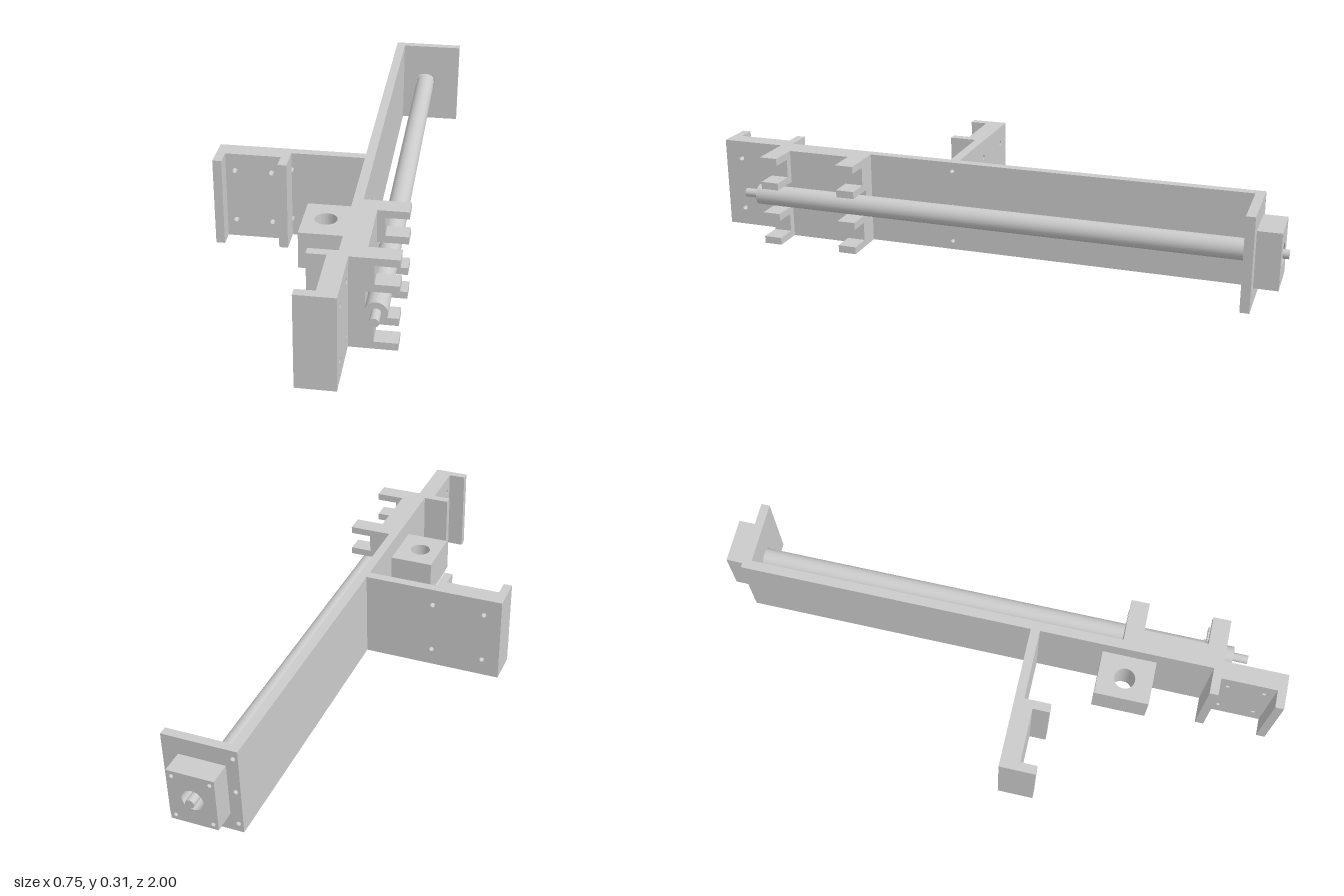
import * as THREE from 'three';

const H = 0.312, MID = H / 2, ROD_X = 0.241;
const material = new THREE.MeshStandardMaterial({ color: 0xcccccc });

export function createModel() {
  const model = new THREE.Group();

  const add = (name, geometry) => {
    const mesh = new THREE.Mesh(geometry, material);
    mesh.name = name;
    model.add(mesh);
    return mesh;
  };

  // Box given by its two opposite limits on each axis
  const block = (name, x0, x1, y0, y1, z0, z1) =>
    add(name, new THREE.BoxGeometry(x1 - x0, y1 - y0, z1 - z0)
      .translate((x0 + x1) / 2, (y0 + y1) / 2, (z0 + z1) / 2));

  // Box drilled along one axis; holes are [u, v, radius] with
  // (u, v) = (z, y) for axis x, (x, z) for axis y, (x, y) for axis z
  const drilled = (name, axis, x0, x1, y0, y1, z0, z1, holes) => {
    const [u0, u1] = axis === 'x' ? [z0, z1] : [x0, x1];
    const [v0, v1] = axis === 'y' ? [z0, z1] : [y0, y1];
    const [d0, d1] = { x: [x0, x1], y: [y0, y1], z: [z0, z1] }[axis];
    const shape = new THREE.Shape([[u0, v0], [u1, v0], [u1, v1], [u0, v1]]
      .map(([u, v]) => new THREE.Vector2(u, v)));
    for (const [u, v, r] of holes) {
      shape.holes.push(new THREE.Path().absarc(u, v, r, 0, Math.PI * 2, true));
    }
    const geometry = new THREE.ExtrudeGeometry(shape, { depth: d1 - d0, bevelEnabled: false, curveSegments: 20 });
    if (axis === 'x') geometry.rotateY(-Math.PI / 2).translate(d1, 0, 0);
    if (axis === 'y') geometry.rotateX(Math.PI / 2).translate(0, d1, 0);
    if (axis === 'z') geometry.translate(0, 0, d0);
    return add(name, geometry);
  };

  const grid = (us, vs, r) => us.flatMap(u => vs.map(v => [u, v, r]));
  const boltRows = [0.063, 0.25];
  const screwRows = [0.03, MID, 0.282];

  // Long upright wall with its thickened front section
  drilled('mainWall', 'x', 0.122, 0.154, 0, H, -0.875, 0.435, grid([0.137], screwRows, 0.007));
  block('clipBase', 0.122, 0.204, 0, H, 0.435, 0.78);

  // Front channel on the end of the wall
  drilled('frontChannelWeb', 'x', 0.091, 0.154, 0, H, 0.78, 0.97, grid([0.815, 0.94], boltRows, 0.009));
  block('frontChannelFlange', 0.03, 0.154, 0, H, 0.97, 1.0);
  block('frontChannelFlange', 0.03, 0.122, 0, H, 0.75, 0.78);

  // Side arm with a channel at its far end
  drilled('sideArm', 'z', -0.373, 0.122, 0, H, 0.121, 0.153, grid([-0.312, -0.125], boltRows, 0.009));
  drilled('sideChannelWeb', 'z', -0.373, -0.125, 0, H, 0.153, 0.187, grid([-0.312, -0.187], boltRows, 0.009));
  for (const x of [-0.373, -0.155]) block('sideChannelFlange', x, x + 0.03, 0, H, 0.187, 0.245);

  // Bored block on the inner side of the wall
  drilled('boredBlock', 'y', -0.032, 0.122, 0.125, 0.25, 0.375, 0.563, [[0.041, 0.467, 0.036]]);

  // Rear end plate and the bearing housing behind it
  drilled('endPlate', 'z', 0.122, 0.373, 0, H, -0.905, -0.875,
    [[ROD_X, MID, 0.038], ...grid([0.138], screwRows, 0.008)]);
  drilled('bearingHousing', 'z', 0.163, 0.32, 0.063, 0.25, -0.982, -0.905,
    [[ROD_X, MID, 0.036], ...grid([ROD_X - 0.062, ROD_X + 0.062], [MID - 0.075, MID + 0.075], 0.007)]);

  // Rod with a thin journal at each end
  const rod = (name, r, z0, z1) =>
    add(name, new THREE.CylinderGeometry(r, r, z1 - z0, 40)
      .rotateX(Math.PI / 2).translate(ROD_X, MID, (z0 + z1) / 2));
  rod('rod', 0.035, -0.88, 0.822);
  rod('frontJournal', 0.015, 0.822, 0.875);
  rod('rearJournal', 0.015, -1.0, -0.88);

  // C-shaped clips, two heights at two stations along the wall
  const clipShape = new THREE.Shape([
    [0.204, 0], [0.304, 0], [0.304, 0.025], [0.23, 0.025],
    [0.23, 0.088], [0.304, 0.088], [0.304, 0.113], [0.204, 0.113],
  ].map(([x, y]) => new THREE.Vector2(x, y)));
  for (const [z0, z1] of [[0.435, 0.498], [0.718, 0.78]]) {
    for (const y of [0, H - 0.113]) {
      add('clip', new THREE.ExtrudeGeometry(clipShape, { depth: z1 - z0, bevelEnabled: false })
        .translate(0, y, z0));
    }
  }

  return model;
}
